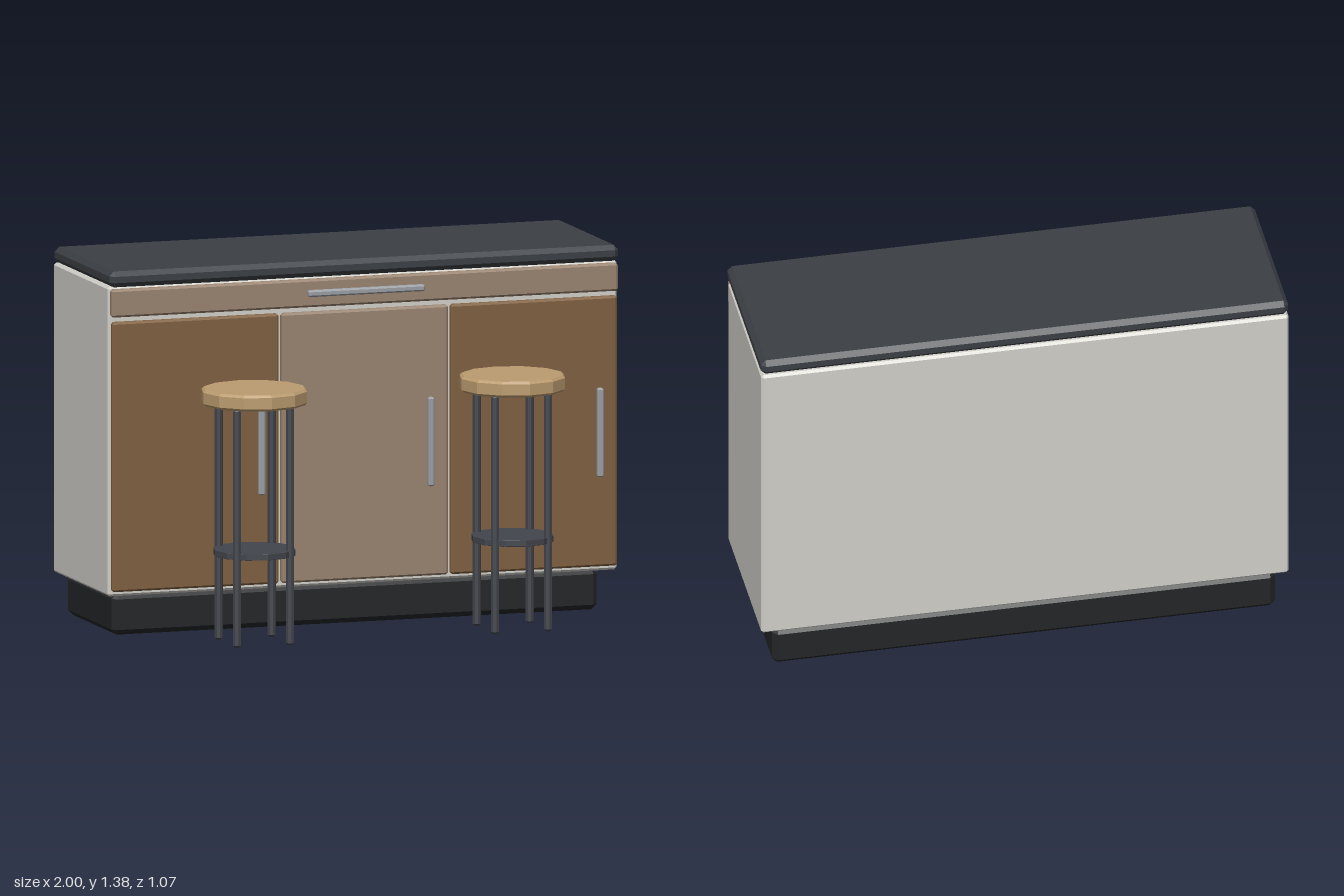
import * as THREE from 'three';
import { ConvexGeometry } from 'three/addons/geometries/ConvexGeometry.js';

const mat = (color) => new THREE.MeshStandardMaterial({ color, flatShading: true });

// Box from min to max on each axis with all edges chamfered by c
function chamferBox(name, [x0, x1], [y0, y1], [z0, z1], c, material) {
  const hx = (x1 - x0) / 2, hy = (y1 - y0) / 2, hz = (z1 - z0) / 2;
  const points = [];
  for (const sx of [-1, 1]) for (const sy of [-1, 1]) for (const sz of [-1, 1]) {
    points.push(
      new THREE.Vector3(sx * hx, sy * (hy - c), sz * (hz - c)),
      new THREE.Vector3(sx * (hx - c), sy * hy, sz * (hz - c)),
      new THREE.Vector3(sx * (hx - c), sy * (hy - c), sz * hz),
    );
  }
  const mesh = new THREE.Mesh(new ConvexGeometry(points), material);
  mesh.name = name;
  mesh.position.set((x0 + x1) / 2, (y0 + y1) / 2, (z0 + z1) / 2);
  return mesh;
}

// Upright faceted disc or rod with chamfered rims
function chamferRod(name, r, y0, y1, c, sides, material) {
  const profile = [[0, y0], [r - c, y0], [r, y0 + c], [r, y1 - c], [r - c, y1], [0, y1]];
  const mesh = new THREE.Mesh(
    new THREE.LatheGeometry(profile.map(([x, y]) => new THREE.Vector2(x, y)), sides), material);
  mesh.name = name;
  return mesh;
}

export function createModel() {
  const group = new THREE.Group();
  group.name = 'kitchenIslandWithStools';
  const stone = mat(0x3b3f44), black = mat(0x232527), white = mat(0xd2d0c9);
  const darkWood = mat(0x80603f), paleWood = mat(0x99836f), seatWood = mat(0xbc9c70);
  const steel = mat(0x9b9fa5), iron = mat(0x42454c);

  // Cabinet body
  group.add(
    chamferBox('plinth', [-0.953, 0.953], [0, 0.155], [-0.518, 0.018], 0.02, black),
    chamferBox('carcass', [-1, 1], [0.16, 1.325], [-0.535, 0.096], 0.009, white),
    chamferBox('worktop', [-1, 1], [1.325, 1.385], [-0.535, 0.126], 0.018, stone),
    chamferBox('drawerFront', [-0.995, 0.995], [1.213, 1.318], [0.096, 0.126], 0.008, paleWood),
    chamferBox('drawerHandle', [-0.23, 0.228], [1.255, 1.28], [0.126, 0.151], 0.006, steel),
  );

  // Three doors, each with a vertical handle
  [-0.665, 0, 0.665].forEach((x, i) => {
    const hx = x + 0.252;
    group.add(
      chamferBox('door', [x - 0.327, x + 0.327], [0.18, 1.195], [0.096, 0.126], 0.008,
        i === 1 ? paleWood : darkWood),
      chamferBox('doorHandle', [hx - 0.012, hx + 0.012], [0.52, 0.855], [0.13, 0.155], 0.006, steel),
    );
  });

  // Two bar stools
  for (const x of [-0.508, 0.506]) {
    const stool = new THREE.Group();
    stool.name = 'stool';
    stool.position.set(x, 0, 0.335);
    stool.add(
      chamferRod('seat', 0.2, 0.897, 0.957, 0.009, 12, seatWood),
      chamferRod('footPlate', 0.155, 0.33, 0.354, 0.001, 12, iron),
    );
    for (const sx of [-1, 1]) for (const sz of [-1, 1]) {
      const leg = chamferRod('leg', 0.016, 0, 0.897, 0.008, 8, iron);
      leg.position.set(sx * 0.104, 0, sz * 0.104);
      stool.add(leg);
    }
    group.add(stool);
  }
  return group;
}
